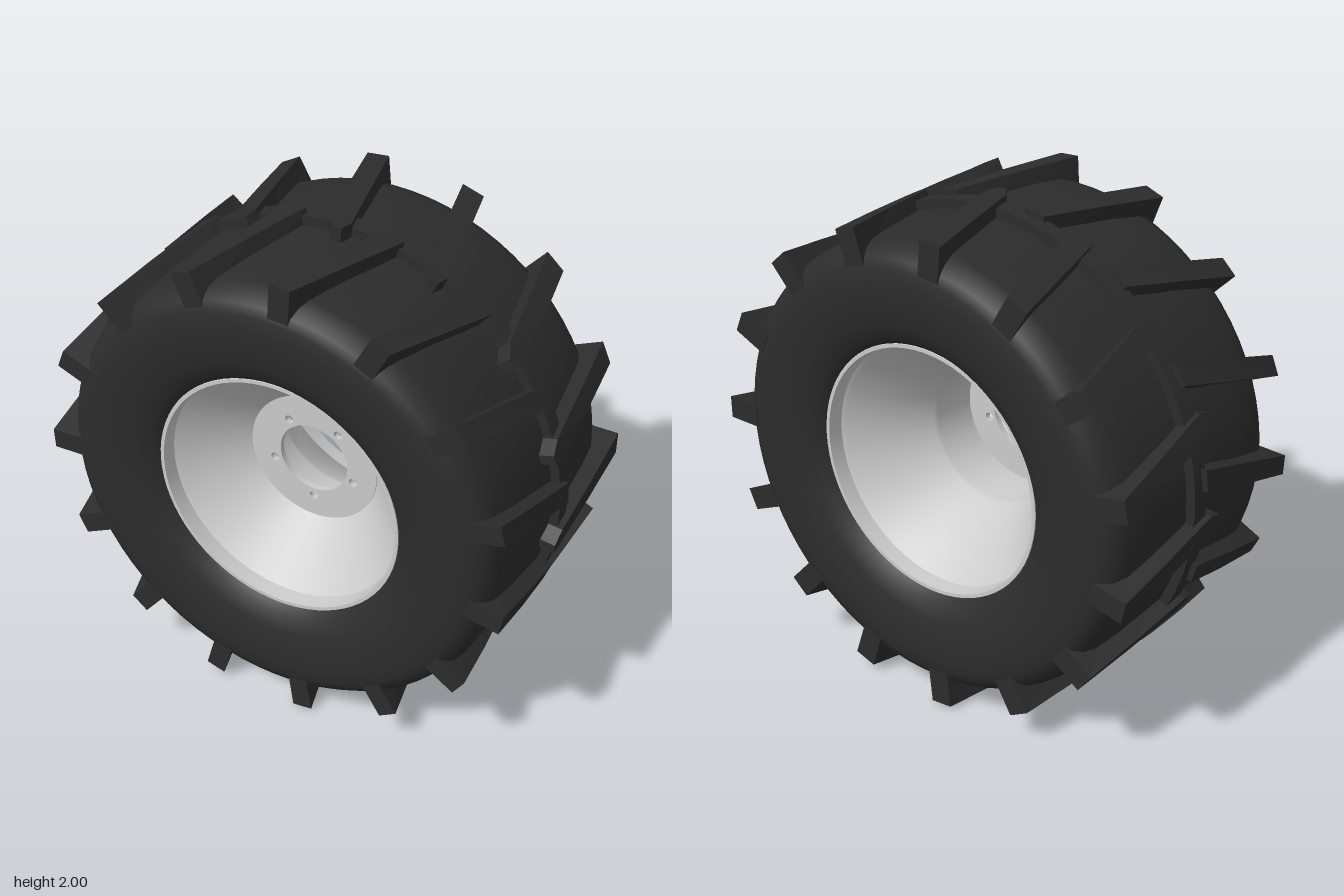
import * as THREE from 'three';
import { toCreasedNormals } from 'three/addons/utils/BufferGeometryUtils.js';

const rubber = new THREE.MeshStandardMaterial({ color: 0x2c2c2c, side: THREE.DoubleSide });
const steel = new THREE.MeshStandardMaterial({ color: 0xcccccc, side: THREE.DoubleSide });
const LUGS = 15;
const deg = THREE.MathUtils.degToRad;

function part(name, geometry, material) {
  const mesh = new THREE.Mesh(geometry, material);
  mesh.name = name;
  return mesh;
}

// Revolve [radius, z] points about the z axis
function revolve(points, segments, crease) {
  const geo = new THREE.LatheGeometry(points.map(p => new THREE.Vector2(p[0], p[1])), segments);
  geo.rotateX(Math.PI / 2);
  return crease ? toCreasedNormals(geo, crease) : geo;
}

// Slanted tread bar: stations are [z, angle in degrees, width], running back to front
function lugGeometry(stations) {
  const n = stations.length - 1;
  const geo = new THREE.BoxGeometry(1, 1, n, 1, 1, n).toNonIndexed();
  const pos = geo.attributes.position;
  for (let i = 0; i < pos.count; i++) {
    const [z, angle, width] = stations[Math.round(pos.getZ(i) + n / 2)];
    const top = pos.getY(i) > 0;
    const r = top ? 0.998 : 0.85;
    const a = deg(angle) - pos.getX(i) * width * (top ? 1 : 1.15);
    pos.setXYZ(i, r * Math.cos(a), r * Math.sin(a), z);
  }
  geo.computeVertexNormals();
  return geo;
}

export function createModel() {
  const model = new THREE.Group();
  model.name = 'tractorWheel';
  const wheel = new THREE.Group();
  wheel.name = 'wheel';
  wheel.position.y = 1;
  model.add(wheel);

  // Tyre carcass with rounded shoulders
  const half = [[0.525, 0.45], [0.555, 0.485], [0.62, 0.51], [0.7, 0.524], [0.78, 0.528], [0.84, 0.522],
    [0.88, 0.503], [0.908, 0.47], [0.926, 0.42], [0.933, 0.3]];
  const carcass = [...half.map(([r, z]) => [r, -z]), [0.938, 0], ...half.slice().reverse()];
  wheel.add(part('tyre', revolve(carcass, 72), rubber));

  // Raised centre rib
  const rib = [[0.92, -0.08], [0.975, -0.08], [0.975, -0.005], [0.92, -0.005]];
  wheel.add(part('centreRib', revolve(rib, 60, 0.6), rubber));

  // Staggered tread bars on both halves
  const backLug = lugGeometry([[-0.522, 95.5, 0.095], [-0.26, 92, 0.095], [0, 88.5, 0.095], [0.055, 87.7, 0.04]]);
  const frontLug = lugGeometry([[-0.03, 76.5, 0.09], [0.24, 81.2, 0.09], [0.515, 86, 0.085]]);
  const tread = new THREE.Group();
  tread.name = 'tread';
  for (let i = 0; i < LUGS; i++) {
    for (const [name, geo] of [['backLug', backLug], ['frontLug', frontLug]]) {
      const lug = part(name, geo, rubber);
      lug.rotation.z = (i / LUGS) * Math.PI * 2;
      tread.add(lug);
    }
  }
  wheel.add(tread);

  // Rim: lipped edges, two cones and a short barrel
  const rim = [[0.53, -0.44], [0.525, -0.455], [0.51, -0.455], [0.505, -0.39], [0.49, -0.375],
    [0.285, -0.08], [0.28, -0.06], [0.28, 0.16], [0.49, 0.375], [0.505, 0.39],
    [0.51, 0.455], [0.525, 0.455], [0.53, 0.44]];
  wheel.add(part('rim', revolve(rim, 72, 0.5), steel));

  // Hub plate with centre bore and five bolt holes
  const plate = new THREE.Shape().absarc(0, 0, 0.28, 0, Math.PI * 2);
  plate.holes.push(new THREE.Path().absarc(0, 0, 0.15, 0, Math.PI * 2, true));
  for (let i = 0; i < 5; i++) {
    const a = deg(-90 + i * 72);
    plate.holes.push(new THREE.Path().absarc(0.185 * Math.cos(a), 0.185 * Math.sin(a), 0.018, 0, Math.PI * 2, true));
  }
  const plateGeo = new THREE.ExtrudeGeometry(plate, { depth: 0.025, bevelEnabled: false, curveSegments: 32 });
  plateGeo.translate(0, 0, 0.14);
  wheel.add(part('hubPlate', toCreasedNormals(plateGeo, 0.6), steel));

  return model;
}
